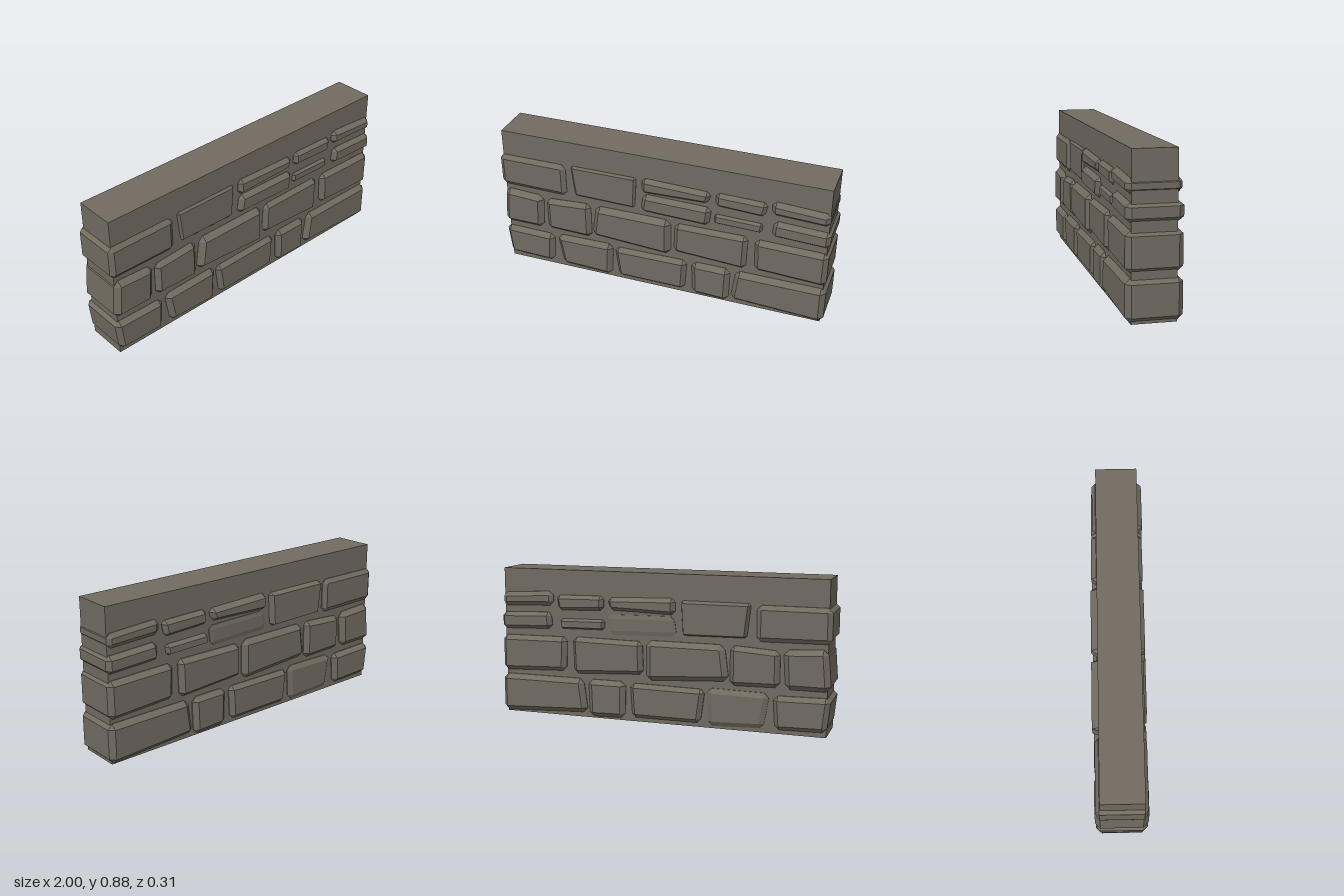
import * as THREE from 'three';
import { ConvexGeometry } from 'three/addons/geometries/ConvexGeometry.js';

// Each stone: corners TL, TR, BR, BL (x, y), front depth, back depth, bevel
const rows = {
  topCourse: [
    [[-1, .725, -.58, .725, -.58, .52, -1, .525], .142, .142, .026],
    [[-.545, .73, -.14, .73, -.15, .53, -.525, .535], .134, .155, .012],
    [[-.105, .74, .305, .73, .295, .655, -.105, .645], .147, .155, .022],
    [[-.1, .635, .31, .63, .3, .51, -.11, .52], .15, .128, .024],
    [[.335, .735, .63, .73, .62, .64, .335, .65], .145, .15, .02],
    [[.33, .595, .61, .59, .605, .53, .33, .535], .138, .148, .012],
    [[.655, .75, .98, .735, .98, .655, .655, .665], .15, .142, .024],
    [[.67, .625, .99, .615, .99, .515, .665, .525], .15, .15, .022],
  ],
  middleCourse: [
    [[-.985, .495, -.735, .485, -.745, .26, -1, .26], .152, .152, .03],
    [[-.715, .475, -.43, .49, -.43, .26, -.715, .265], .148, .15, .026],
    [[-.4, .49, .07, .49, .07, .255, -.42, .28], .155, .15, .03],
    [[.095, .48, .53, .485, .525, .265, .09, .285], .148, .152, .024],
    [[.57, .48, .99, .475, .99, .26, .575, .275], .15, .15, .026],
  ],
  bottomCourse: [
    [[-1, .225, -.68, .22, -.69, .025, -.985, .03], .15, .15, .026],
    [[-.655, .23, -.295, .235, -.305, .015, -.63, .025], .15, .14, .028],
    [[-.28, .225, .17, .23, .16, .025, -.26, .025], .148, .148, .024],
    [[.2, .235, .435, .235, .43, .01, .205, .015], .15, .148, .028],
    [[.465, .235, .995, .235, .995, .008, .445, .03], .152, .15, .028],
  ],
};

// Block with every edge chamfered, running through the wall
function stoneGeometry(c, front, back, b) {
  const pts = [];
  for (let i = 0; i < 4; i++) {
    const x = c[i * 2], y = c[i * 2 + 1];
    const ix = x + (i === 0 || i === 3 ? b : -b);
    const iy = y + (i < 2 ? -b : b);
    for (const [s, d] of [[1, front], [-1, back]]) {
      const shoulder = s * Math.min(.122, d - .006);
      pts.push(
        new THREE.Vector3(ix, iy, s * d),
        new THREE.Vector3(x, iy, shoulder),
        new THREE.Vector3(ix, y, shoulder),
      );
    }
  }
  return new ConvexGeometry(pts);
}

export function createModel() {
  const model = new THREE.Group();
  model.name = 'stoneWall';
  const stone = new THREE.MeshStandardMaterial({ color: 0x716b60 });
  stone.name = 'stone grey';

  // Wall core
  const core = new THREE.Mesh(new THREE.BoxGeometry(1.955, .88, .238), stone);
  core.name = 'wallCore';
  core.position.set(-.002, .44, .002);
  model.add(core);

  // Courses of stones
  for (const [name, stones] of Object.entries(rows)) {
    const course = new THREE.Group();
    course.name = name;
    stones.forEach((s, i) => {
      const mesh = new THREE.Mesh(stoneGeometry(...s), stone);
      mesh.name = `stone${i + 1}`;
      course.add(mesh);
    });
    model.add(course);
  }
  return model;
}
